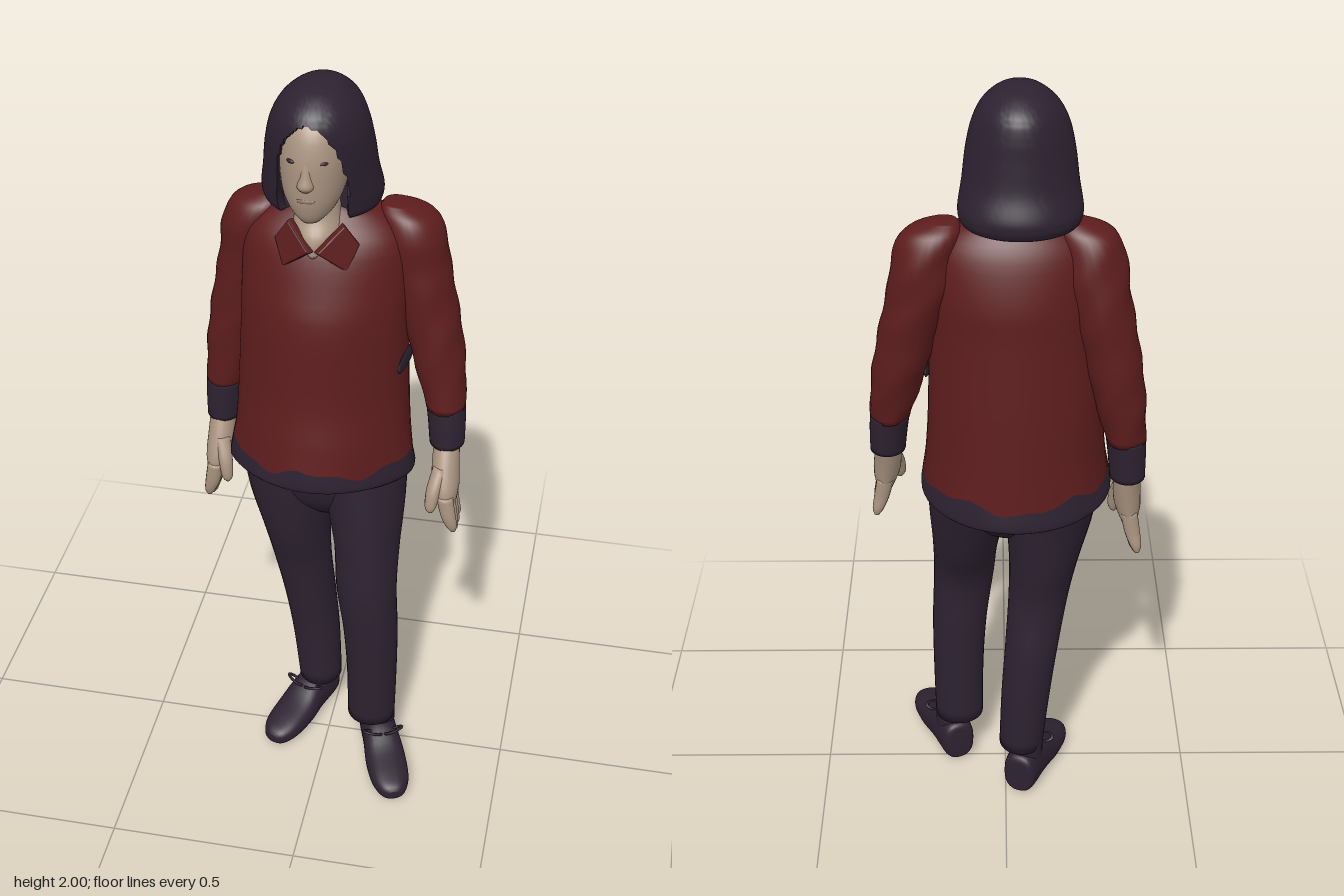
import * as THREE from 'three';
import { toCreasedNormals } from 'three/addons/utils/BufferGeometryUtils.js';

const mat = (name, color) => {
  const m = new THREE.MeshStandardMaterial({ color });
  m.name = name;
  return m;
};

// Smooth body through elliptical sections [x, y, z, rx, rz], listed from top to bottom.
function loft(secs, { seg = 28, sub = 4, pow = 1, capTop = true, capEnd = true, warp = null } = {}) {
  const rows = [], at = (i) => secs[Math.min(secs.length - 1, Math.max(0, i))];
  for (let i = 0; i < secs.length - 1; i++) {
    for (let k = 0; k < sub; k++) {
      const t = k / sub, [a, b, c, d] = [at(i - 1), at(i), at(i + 1), at(i + 2)];
      rows.push(b.map((v, n) => THREE.MathUtils.clamp(
        v + 0.5 * t * (c[n] - a[n] + t * (2 * a[n] - 5 * v + 4 * c[n] - d[n] + t * (3 * (v - c[n]) + d[n] - a[n]))),
        Math.min(v, c[n]) - 0.006, Math.max(v, c[n]) + 0.006)));
    }
  }
  rows.push(at(secs.length));
  const pos = [], idx = [], p = new THREE.Vector3();
  const sp = (v) => Math.sign(v) * Math.abs(v) ** pow;
  for (const [x, y, z, rx, rz] of rows) {
    for (let j = 0; j < seg; j++) {
      const th = j / seg * Math.PI * 2;
      p.set(x + rx * sp(Math.cos(th)), y, z + rz * sp(Math.sin(th)));
      if (warp) warp(p, th);
      pos.push(p.x, p.y, p.z);
    }
  }
  for (let i = 0; i < rows.length - 1; i++) {
    for (let j = 0; j < seg; j++) {
      const a = i * seg + j, b = i * seg + (j + 1) % seg;
      idx.push(a, b, a + seg, b, b + seg, a + seg);
    }
  }
  const cap = (row, flip) => {
    const c = pos.length / 3, base = row * seg;
    p.set(...rows[row].slice(0, 3));
    if (warp) warp(p, 0);
    pos.push(p.x, p.y, p.z);
    for (let j = 0; j < seg; j++) {
      const a = base + j, b = base + (j + 1) % seg;
      idx.push(c, ...(flip ? [b, a] : [a, b]));
    }
  };
  if (capTop) cap(0, true);
  if (capEnd) cap(rows.length - 1, false);
  const g = new THREE.BufferGeometry();
  g.setAttribute('position', new THREE.Float32BufferAttribute(pos, 3));
  g.setIndex(idx);
  g.computeVertexNormals();
  return g;
}

export function createModel() {
  const model = new THREE.Group();
  model.name = 'standingWoman';
  const red = mat('shirtRed', 0x5e1d1d), dark = mat('darkPlum', 0x2d2231);
  const skin = mat('skin', 0xaa9480), lip = mat('lips', 0x96796b);
  const add = (name, geo, m, parent = model) => {
    const mesh = new THREE.Mesh(geo, m);
    mesh.name = name;
    parent.add(mesh);
    return mesh;
  };
  const ball = (name, m, p, s, ry = 0) => {
    const b = add(name, new THREE.SphereGeometry(1, 16, 12), m);
    b.position.set(...p);
    b.scale.set(...s);
    b.rotation.y = ry;
  };

  // Shirt, narrower in front, with an uneven dark hem that hangs lower at the back
  const hemWarp = (p, th) => {
    const wave = Math.max(0, 1 - Math.abs(p.y - 1.0) / 0.05);
    const tilt = THREE.MathUtils.clamp((1.2 - p.y) / 0.25, 0, 1);
    p.x = -0.025 + (p.x + 0.025) * (1 - 0.9 * Math.max(0, p.z));
    p.y += tilt * 0.15 * p.z + wave * (0.012 * Math.sin(5 * th) + 0.007 * Math.sin(11 * th + 1));
  };
  const seam = [-0.026, 1.0, -0.05, 0.235, 0.205];
  add('shirt', loft([
    [-0.02, 1.695, -0.08, 0.07, 0.06], [-0.02, 1.67, -0.085, 0.14, 0.08], [-0.02, 1.61, -0.077, 0.2, 0.122],
    [-0.02, 1.5, -0.07, 0.21, 0.155], [-0.022, 1.4, -0.06, 0.21, 0.17], [-0.025, 1.2, -0.06, 0.218, 0.183],
    [-0.025, 1.08, -0.053, 0.225, 0.197], seam,
  ], { seg: 48, warp: hemWarp, capEnd: false }), red);
  add('shirtHem', loft([seam, [-0.027, 0.95, -0.05, 0.243, 0.209], [-0.027, 0.945, -0.05, 0.22, 0.19]],
    { seg: 48, warp: hemWarp, capTop: false }), dark);
  ball('leftSidePatch', dark, [0.188, 1.28, -0.04], [0.006, 0.025, 0.07], -0.15);

  // Trousers
  add('hips', loft([[-0.025, 1.03, -0.06, 0.2, 0.15], [-0.025, 0.94, -0.06, 0.213, 0.145],
    [-0.015, 0.86, -0.05, 0.17, 0.112], [-0.008, 0.8, -0.045, 0.07, 0.06]]), dark);
  add('leftLeg', loft([
    [0.085, 0.97, -0.05, 0.112, 0.14], [0.095, 0.85, -0.02, 0.104, 0.125], [0.106, 0.72, 0.015, 0.087, 0.105],
    [0.112, 0.6, 0.05, 0.081, 0.082], [0.125, 0.45, 0.05, 0.074, 0.076], [0.13, 0.3, 0.045, 0.069, 0.07],
    [0.13, 0.13, 0.04, 0.066, 0.064],
  ]), dark);
  add('rightLeg', loft([
    [-0.125, 0.97, -0.07, 0.118, 0.15], [-0.113, 0.85, -0.06, 0.112, 0.13], [-0.1, 0.72, -0.06, 0.091, 0.11],
    [-0.087, 0.6, -0.065, 0.079, 0.082], [-0.07, 0.45, -0.085, 0.071, 0.077], [-0.055, 0.3, -0.095, 0.066, 0.071],
    [-0.043, 0.13, -0.095, 0.06, 0.068],
  ]), dark);

  // Shoes: lofted along the foot, flattened underneath
  const shoeGeo = loft([
    [0, 0, 0.055, 0.03, 0.045], [0, -0.015, 0.06, 0.045, 0.06], [0, -0.1, 0.058, 0.05, 0.06],
    [0, -0.17, 0.041, 0.056, 0.043], [0, -0.24, 0.032, 0.052, 0.032], [0, -0.28, 0.026, 0.035, 0.024],
    [0, -0.294, 0.024, 0.015, 0.012],
  ], { pow: 0.8 });
  shoeGeo.rotateX(-Math.PI / 2);
  const sp = shoeGeo.attributes.position;
  for (let i = 0; i < sp.count; i++) sp.setY(i, Math.max(0, sp.getY(i)));
  shoeGeo.computeVertexNormals();
  for (const [side, x, z, yaw] of [['left', 0.128, -0.02, 0.37], ['right', -0.033, -0.165, -0.39]]) {
    const foot = new THREE.Group();
    foot.name = side + 'Foot';
    foot.position.set(x, 0, z);
    foot.rotation.y = yaw;
    model.add(foot);
    add('shoe', shoeGeo, dark, foot);
    add('ankle', new THREE.CylinderGeometry(0.046, 0.046, 0.09, 20), dark, foot).position.set(0, 0.12, 0.06);
    for (const s of [-1, 1]) {
      const bow = add('laceBow', new THREE.TorusGeometry(0.018, 0.004, 6, 14), dark, foot);
      bow.position.set(s * 0.03, 0.108, 0.128);
      bow.rotation.set(1.1, s * 0.3, 0);
      bow.scale.set(1.4, 0.8, 1);
    }
  }

  // Arms and hands: the right arm hangs a little lower and further back
  for (const s of [1, -1]) {
    const arm = new THREE.Group();
    arm.name = s > 0 ? 'leftArm' : 'rightArm';
    model.add(arm);
    const place = (secs) => s > 0 ? secs : secs.map(([x, y, z, rx, rz]) => {
      const d = Math.max(0, 1.67 - y);
      return [-x - 0.02 + 0.02 * d, y - 0.065 * d, z - 0.12 * d, rx, rz];
    });
    const folds = (p, th) => { p.x += 0.002 * Math.sin(p.y * 55 + 2 * th); p.z += 0.002 * Math.cos(p.y * 40 + 3 * th); };
    add('sleeve', loft(place([
      [0.145, 1.683, -0.1, 0.03, 0.035], [0.17, 1.658, -0.1, 0.068, 0.065], [0.188, 1.605, -0.1, 0.08, 0.08],
      [0.202, 1.52, -0.1, 0.08, 0.084], [0.235, 1.4, -0.092, 0.073, 0.08], [0.265, 1.27, -0.08, 0.066, 0.073],
      [0.29, 1.14, -0.06, 0.05, 0.058],
    ]), { sub: 6, warp: folds }), red, arm);
    add('cuff', loft(place([[0.29, 1.145, -0.06, 0.05, 0.059], [0.295, 1.1, -0.053, 0.048, 0.057],
      [0.299, 1.04, -0.045, 0.045, 0.054]])), dark, arm);
    add('palm', loft(place([[0.3, 1.07, -0.045, 0.031, 0.036], [0.302, 1.0, -0.012, 0.035, 0.047],
      [0.308, 0.94, 0.012, 0.034, 0.053], [0.315, 0.89, 0.018, 0.02, 0.046]])), skin, arm);
    for (let k = 0; k < 4; k++) {
      const z = -0.02 + 0.024 * k, tip = 0.805 + 0.012 * Math.abs(k - 1.5);
      add('finger', loft(place([[0.31, 0.93, z, 0.022, 0.017], [0.322, 0.875, z + 0.004, 0.02, 0.016],
        [0.332, tip + 0.018, z + 0.002, 0.015, 0.014], [0.336, tip, z, 0.007, 0.007]]), { seg: 12 }), skin, arm);
    }
    add('thumb', loft(place([[0.295, 1.0, 0.015, 0.02, 0.022], [0.282, 0.95, 0.05, 0.019, 0.02],
      [0.277, 0.905, 0.066, 0.015, 0.015], [0.277, 0.888, 0.068, 0.006, 0.006]]), { seg: 12 }), skin, arm);
  }

  // Neck and collar
  add('neck', loft([[-0.035, 1.78, -0.05, 0.055, 0.06], [-0.033, 1.69, -0.035, 0.056, 0.062],
    [-0.03, 1.64, -0.01, 0.056, 0.066], [-0.03, 1.595, 0.0, 0.02, 0.06]]), skin);
  const flap = new THREE.Shape([[0, 0], [0.06, 0.06], [0.095, 0.015], [0.07, -0.045]].map((q) => new THREE.Vector2(...q)));
  for (const s of [-1, 1]) {
    const geo = new THREE.ExtrudeGeometry(flap, { depth: 0.012, bevelSize: 0.005, bevelThickness: 0.005, bevelSegments: 2 });
    if (s < 0) geo.rotateY(Math.PI).translate(0, 0, 0.012);
    const c = add('collarFlap', geo, red);
    c.position.set(-0.025 + s * 0.008, 1.617, 0.062);
    c.rotation.set(-0.2, s * 0.5, 0);
  }

  // Head and face
  add('head', loft([
    [-0.037, 1.965, -0.06, 0.04, 0.05], [-0.037, 1.92, -0.045, 0.076, 0.095], [-0.038, 1.86, -0.033, 0.086, 0.105],
    [-0.039, 1.8, -0.028, 0.083, 0.104], [-0.04, 1.745, -0.018, 0.072, 0.092], [-0.04, 1.705, -0.002, 0.05, 0.066],
    [-0.04, 1.683, 0.012, 0.026, 0.038],
  ], { seg: 36 }), skin);
  add('nose', loft([[-0.041, 1.855, 0.058, 0.012, 0.014], [-0.041, 1.815, 0.064, 0.015, 0.018],
    [-0.042, 1.79, 0.067, 0.021, 0.022], [-0.042, 1.776, 0.064, 0.012, 0.013]], { seg: 16 }), skin);
  ball('lips', lip, [-0.041, 1.752, 0.068], [0.024, 0.008, 0.008]);
  for (const s of [-1, 1]) ball('eye', dark, [-0.04 + s * 0.038, 1.847, 0.06], [0.012, 0.005, 0.006], s * 0.45);

  // Bobbed hair, with an arched opening sunk behind the face
  const opening = (p) => {
    const up = Math.max(0, (p.y - 1.75) / 0.185);
    const half = up < 1 ? 0.081 * Math.sqrt(1 - up * up) : 0;
    if (p.z > -0.03 && Math.abs(p.x + 0.037) < half) p.z = -0.03;
  };
  add('hair', toCreasedNormals(loft([
    [-0.033, 2.0, -0.06, 0.02, 0.025], [-0.033, 1.988, -0.06, 0.055, 0.075], [-0.034, 1.955, -0.06, 0.092, 0.122],
    [-0.035, 1.91, -0.06, 0.115, 0.137], [-0.035, 1.85, -0.067, 0.129, 0.135], [-0.035, 1.78, -0.08, 0.138, 0.13],
    [-0.035, 1.715, -0.1, 0.148, 0.13], [-0.035, 1.68, -0.1, 0.138, 0.12], [-0.035, 1.67, -0.1, 0.11, 0.1],
  ], { seg: 96, sub: 6, warp: opening }), 0.9), dark);

  return model;
}
